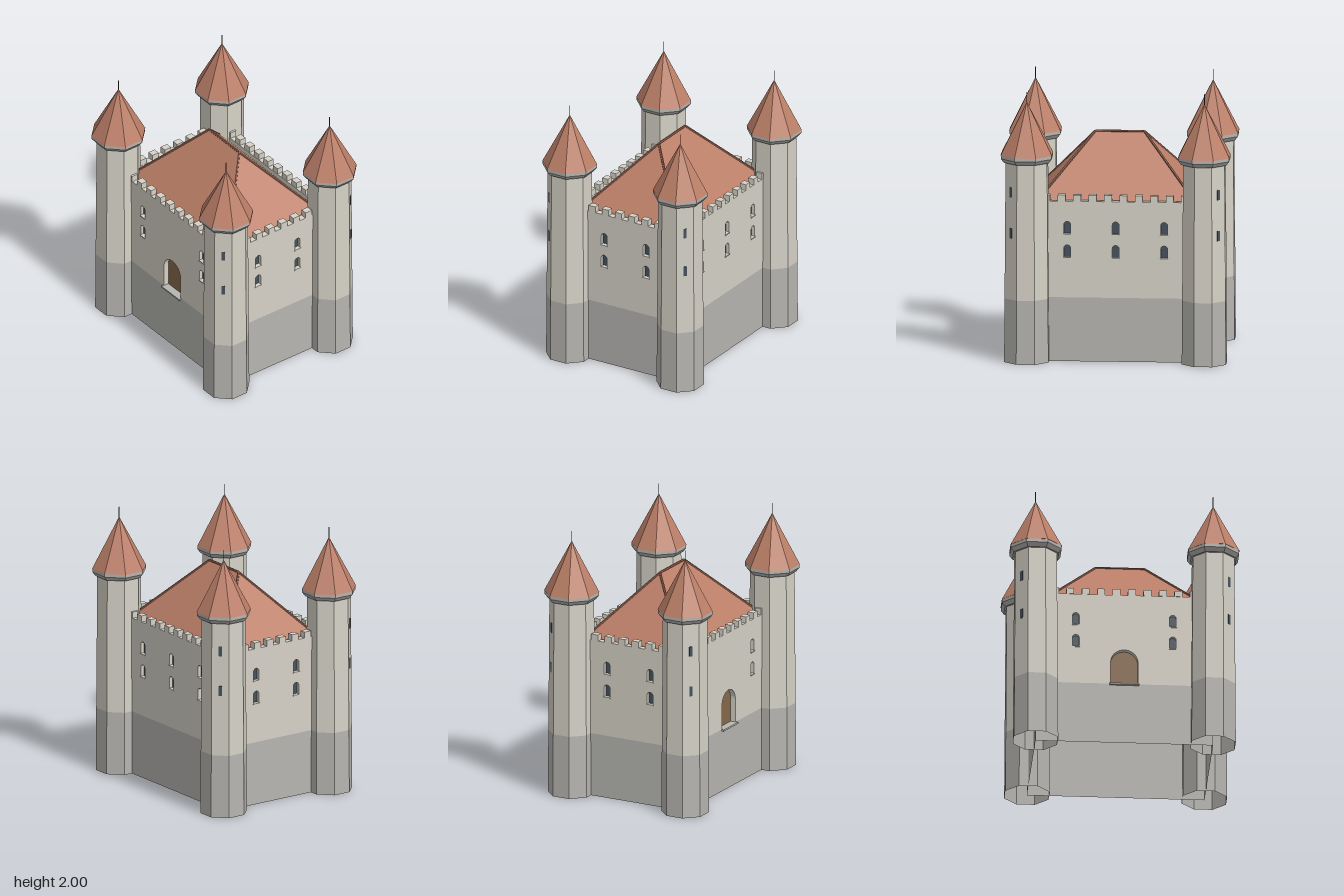
import * as THREE from 'three';

const mat = (color, side = THREE.FrontSide) =>
  new THREE.MeshStandardMaterial({ color, flatShading: true, side });
const stone = mat(0xd6d2c7, THREE.DoubleSide);
const plinthStone = mat(0xb6b5b1, THREE.DoubleSide);
const tile = mat(0xbc7f68, THREE.DoubleSide);
const ridgeTile = mat(0x9a6452);
const glass = mat(0x46525c, THREE.DoubleSide);
const wood = mat(0x86694a, THREE.DoubleSide);
const iron = mat(0x4a4a4a);

const HX = 0.65, HZ = 0.475;            // half size of the keep
const BAND = 0.475, TOP = 1.19, THICK = 0.05;

function add(parent, name, geo, material, x = 0, y = 0, z = 0) {
  const m = new THREE.Mesh(geo, material);
  m.name = name;
  m.position.set(x, y, z);
  parent.add(m);
  return m;
}
const box = (w, h, d) => new THREE.BoxGeometry(w, h, d);

// Round-headed opening standing on y0, with half width r and head starting at ySpring
function arch(path, x, y0, ySpring, r) {
  path.moveTo(x - r, y0);
  path.lineTo(x + r, y0);
  path.lineTo(x + r, ySpring);
  path.absarc(x, ySpring, r, 0, Math.PI, false);
  path.lineTo(x - r, y0);
  return path;
}

// One wall, outer face on z = 0, looking along +z
function makeWall(name, half, columns, hasDoor) {
  const g = new THREE.Group();
  g.name = name;
  const outline = new THREE.Shape();
  outline.moveTo(-half, BAND);
  if (hasDoor) {
    outline.lineTo(-0.1, BAND);
    outline.lineTo(-0.1, 0.65);
    outline.absarc(0, 0.65, 0.1, Math.PI, 0, true);
    outline.lineTo(0.1, BAND);
  }
  outline.lineTo(half, BAND);
  outline.lineTo(half, TOP);
  outline.lineTo(-half, TOP);
  outline.closePath();

  // Recessed windows in two rows
  for (const x of columns) for (const y of [0.77, 0.945]) {
    outline.holes.push(arch(new THREE.Path(), x, y, y + 0.07, 0.025));
    add(g, 'windowPane', box(0.07, 0.12, 0.006), glass, x, y + 0.05, -0.03);
    add(g, 'windowSill', box(0.058, 0.008, 0.036), stone, x, y - 0.002, -0.012);
  }
  const wall = new THREE.ExtrudeGeometry(outline, { depth: THICK, bevelEnabled: false, curveSegments: 8 });
  add(g, 'upperWall', wall, stone, 0, 0, -THICK);
  add(g, 'plinthWall', new THREE.PlaneGeometry(half * 2, BAND), plinthStone, 0, BAND / 2, 0);

  if (hasDoor) {
    const leaf = new THREE.ShapeGeometry(arch(new THREE.Shape(), 0, BAND, 0.65, 0.1), 10);
    add(g, 'door', leaf, wood, 0, 0, -0.04);
    add(g, 'doorStep', box(0.216, 0.012, 0.07), plinthStone, 0, BAND - 0.006, -0.015);
  }

  // Battlements
  const pitch = 0.113;
  for (let x = pitch / 2; x < half - 0.05; x += pitch)
    for (const s of [-1, 1])
      add(g, 'merlon', box(0.057, 0.047, THICK), stone, s * x, TOP + 0.0235, -THICK / 2 + 0.002);
  return g;
}

// Tapered eight-sided ring with a flat side to the front; radii measured across flats
function octagon(rTop, rBottom, h, open = true) {
  const k = 1 / Math.cos(Math.PI / 8);
  return new THREE.CylinderGeometry(rTop * k, rBottom * k, h, 8, 1, open).rotateY(Math.PI / 8);
}

function makeTower(sx, sz) {
  const g = new THREE.Group();
  g.name = 'cornerTower';
  const radius = y => 0.162 - 0.01 * y / 1.485;
  const ring = (name, y0, y1, r0, r1, m, open = true) =>
    add(g, name, octagon(r1, r0, y1 - y0, open), m, 0, (y0 + y1) / 2, 0);

  ring('towerPlinth', 0, BAND, radius(0), radius(BAND), plinthStone);
  ring('towerShaft', BAND, 1.485, radius(BAND), radius(1.485), stone);
  ring('towerCorbel', 1.485, 1.515, 0.165, 0.186, plinthStone, false);
  ring('towerCornice', 1.515, 1.54, 0.186, 0.186, plinthStone, false);
  ring('towerRoof', 1.54, 1.925, 0.188, 0.0005, tile, false);
  add(g, 'finial', new THREE.CylinderGeometry(0.003, 0.003, 0.09, 6), iron, 0, 1.955, 0);

  // Arrow slits on the outward diagonal side
  for (const y of [0.968, 1.272]) {
    const r = radius(y) * Math.SQRT1_2;
    const slit = add(g, 'arrowSlit', box(0.024, 0.075, 0.006), glass, sx * r, y, sz * r);
    slit.rotation.y = Math.atan2(sx, sz);
  }
  g.position.set(sx * HX, 0, sz * HZ);
  return g;
}

// Hipped roof with capping tiles along ridge and hips
function makeRoof() {
  const g = new THREE.Group();
  g.name = 'mainRoof';
  const ex = 0.603, ez = 0.427, ey = 1.15, rx = 0.18, ry = 1.625;
  const a = [-ex, ey, ez], b = [ex, ey, ez], c = [ex, ey, -ez], d = [-ex, ey, -ez];
  const l = [-rx, ry, 0], r = [rx, ry, 0];
  const geo = new THREE.BufferGeometry();
  const tris = [a, b, r, a, r, l, b, c, r, c, d, l, c, l, r, d, a, l];
  geo.setAttribute('position', new THREE.Float32BufferAttribute(tris.flat(), 3));
  geo.computeVertexNormals();
  add(g, 'roofSlopes', geo, tile);
  for (const [p, q] of [[l, r], [a, l], [d, l], [b, r], [c, r]]) {
    const line = new THREE.LineCurve3(new THREE.Vector3(...p), new THREE.Vector3(...q));
    add(g, 'ridgeCap', new THREE.TubeGeometry(line, 1, 0.009, 6), ridgeTile);
  }
  return g;
}

export function createModel() {
  const castle = new THREE.Group();
  castle.name = 'castle';

  // Four walls of the keep
  const walls = [
    ['frontWall', HX, [-0.355, 0.355], true, 0, HZ, 0],
    ['backWall', HX, [-0.355, 0, 0.355], false, 0, -HZ, Math.PI],
    ['leftWall', HZ, [-0.18, 0.18], false, HX, 0, Math.PI / 2],
    ['rightWall', HZ, [-0.18, 0.18], false, -HX, 0, -Math.PI / 2],
  ];
  for (const [name, half, columns, door, x, z, turn] of walls) {
    const w = makeWall(name, half, columns, door);
    w.position.set(x, 0, z);
    w.rotation.y = turn;
    castle.add(w);
  }

  castle.add(makeRoof());
  for (const sx of [-1, 1]) for (const sz of [-1, 1]) castle.add(makeTower(sx, sz));
  return castle;
}
